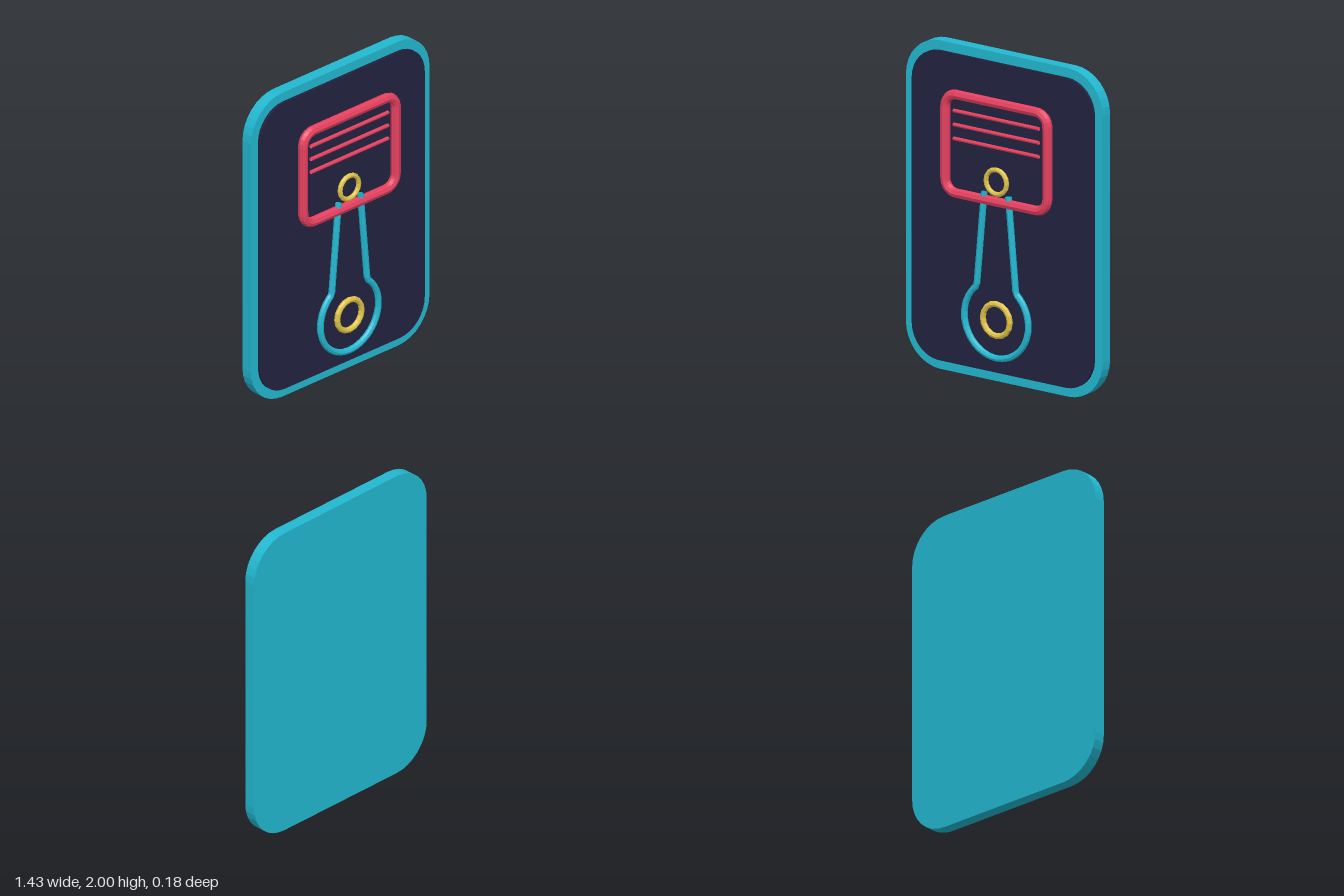
import * as THREE from 'three';

const material = (name, color) => {
  const m = new THREE.MeshStandardMaterial({ color });
  m.name = name;
  return m;
};

// Outline of a rounded rectangle centred on (cx, cy)
function roundedRect(w, h, r, cy) {
  const x = w / 2, y = h / 2, s = new THREE.Shape();
  s.moveTo(-x + r, cy + y);
  s.lineTo(x - r, cy + y);
  s.absarc(x - r, cy + y - r, r, Math.PI / 2, 0, true);
  s.lineTo(x, cy - y + r);
  s.absarc(x - r, cy - y + r, r, 0, -Math.PI / 2, true);
  s.lineTo(-x + r, cy - y);
  s.absarc(-x + r, cy - y + r, r, -Math.PI / 2, -Math.PI, true);
  s.lineTo(-x, cy + y - r);
  s.absarc(-x + r, cy + y - r, r, Math.PI, Math.PI / 2, true);
  return s;
}

// Faceted tube along a flat list of 2D points
function tubeAlong(points, radius, segments) {
  const path = new THREE.CurvePath();
  const p = points.map(q => new THREE.Vector3(q.x, q.y, 0));
  for (let i = 1; i < p.length; i++) {
    if (p[i].distanceTo(p[i - 1]) > 1e-5) path.add(new THREE.LineCurve3(p[i - 1], p[i]));
  }
  return faceted(new THREE.TubeGeometry(path, segments, radius, 8, false));
}

function faceted(geometry) {
  const g = geometry.toNonIndexed();
  g.computeVertexNormals();
  return g;
}

export function createModel() {
  const group = new THREE.Group();
  const cyan = material('cyan', 0x22b8d1);
  const navy = material('navy', 0x222240);
  const red = material('red', 0xe5405f);
  const gold = material('gold', 0xdfc347);
  const LINE_Z = 0.06;

  const add = (name, geometry, mat, x = 0, y = 0, z = 0) => {
    const mesh = new THREE.Mesh(geometry, mat);
    mesh.name = name;
    mesh.position.set(x, y, z);
    group.add(mesh);
    return mesh;
  };
  const slab = (w, h, r, depth) => new THREE.ExtrudeGeometry(
    roundedRect(w, h, r, 1), { depth, bevelEnabled: false, curveSegments: 4 });

  // Backing plate and raised dark panel
  add('backPlate', slab(1.43, 2, 0.25, 0.073), cyan, 0, 0, -0.09);
  add('frontPanel', slab(1.32, 1.885, 0.2, 0.018), navy, 0, 0, -0.017);

  // Piston outline
  const frame = roundedRect(0.742, 0.6, 0.08, 1.42).getPoints(5);
  add('pistonOutline', tubeAlong(frame, 0.03, 120), red, 0, 0, LINE_Z);

  // Piston ring grooves
  for (const y of [1.62, 1.535, 1.45]) {
    const line = [new THREE.Vector2(-0.31, y), new THREE.Vector2(0.31, y)];
    add('pistonGroove', tubeAlong(line, 0.012, 1), red, 0, 0, LINE_Z);
  }

  // Connecting rod: two shanks joined by the big-end arc
  const rod = [new THREE.Vector2(-0.088, 1.165)];
  const start = Math.PI - Math.acos(0.142 / 0.233), sweep = 3 * Math.PI - 2 * start;
  for (let i = 0; i <= 24; i++) {
    const a = start + sweep * i / 24;
    rod.push(new THREE.Vector2(0.233 * Math.cos(a), 0.4 + 0.233 * Math.sin(a)));
  }
  rod.push(new THREE.Vector2(0.088, 1.165));
  add('connectingRod', tubeAlong(rod, 0.02, 90), cyan, 0, 0, LINE_Z);

  // Pin rings at both ends of the rod
  add('wristPinRing', faceted(new THREE.TorusGeometry(0.075, 0.015, 8, 16)), gold, 0, 1.24, LINE_Z);
  add('crankPinRing', faceted(new THREE.TorusGeometry(0.098, 0.018, 8, 16)), gold, 0, 0.4, LINE_Z);

  // Open tube ends show their inside
  cyan.side = red.side = THREE.DoubleSide;
  return group;
}
